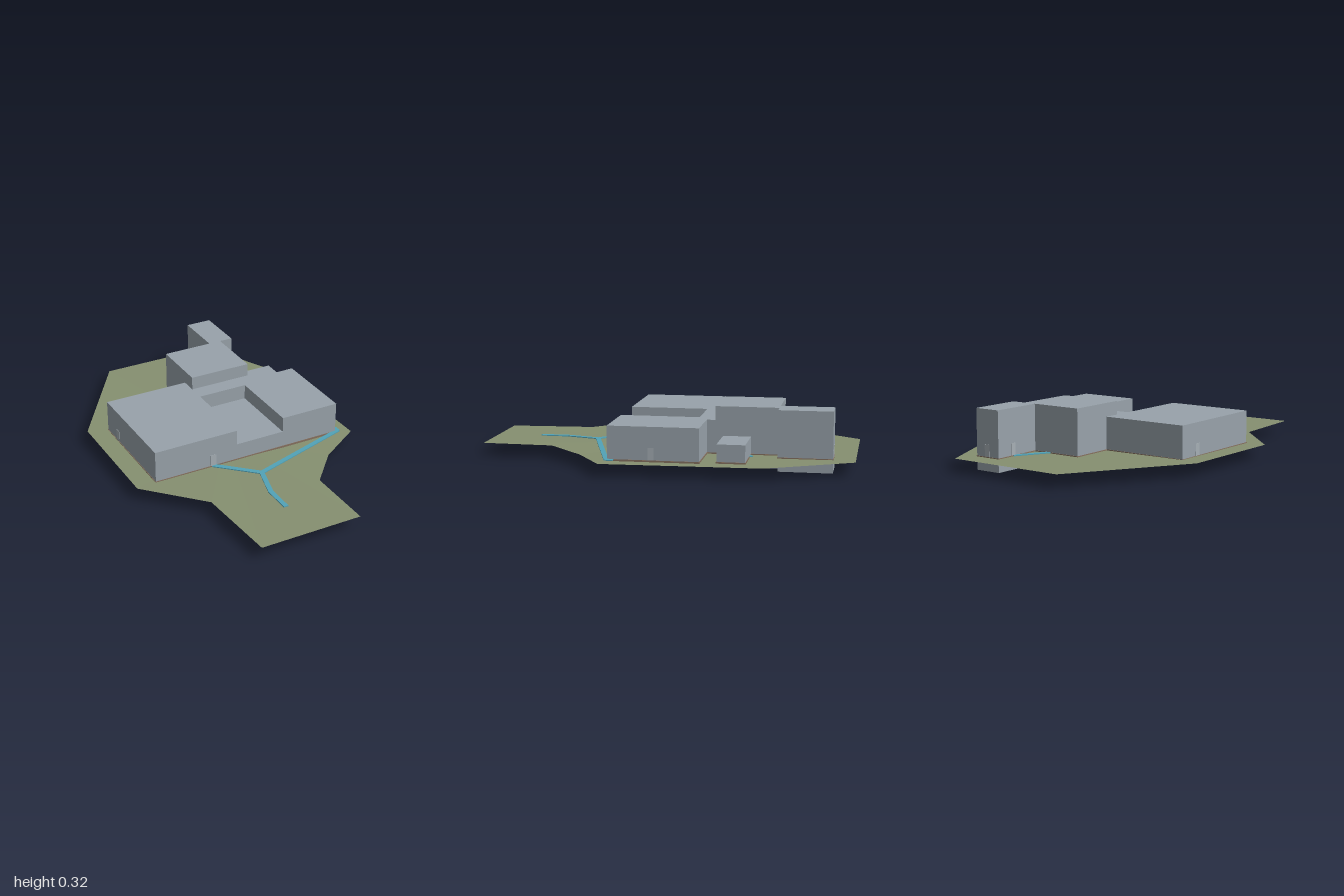
import * as THREE from 'three';

const wallMat = new THREE.MeshStandardMaterial({ name: 'greyWall', color: 0x98a2aa });
const doorMat = new THREE.MeshStandardMaterial({ name: 'paleDoor', color: 0xa6afb5 });
const plinthMat = new THREE.MeshStandardMaterial({ name: 'brownPlinth', color: 0x85705f });
const grassMat = new THREE.MeshStandardMaterial({ name: 'grass', color: 0x869070, side: THREE.DoubleSide });
const pathMat = new THREE.MeshStandardMaterial({ name: 'bluePath', color: 0x52a3b8 });

const rect = (x0, x1, z0, z1) => [[x0, z0], [x1, z0], [x1, z1], [x0, z1]];

// Footprints as [x, z] corners, clockwise seen from below
const mainPlan = [[-0.535, -0.365], [-0.06, -0.365], [-0.06, -0.275], [0.29, -0.275],
  [0.29, -0.23], [0.555, -0.23], [0.555, 0.24], [-0.535, 0.24]];
const upperPlan = [...mainPlan.slice(0, 7), [0.22, 0.24], [0.22, -0.18], [-0.06, -0.18],
  [-0.06, 0.24], [-0.535, 0.24]];
const hallPlan = rect(-0.06, 0.29, -0.605, -0.275);
const towerPlan = rect(0.22, 0.365, -0.885, -0.605);
const annexPlan = rect(0.29, 0.535, -0.46, -0.315);

// Grow (or shrink) a right-angled outline by d
function offset(plan, d) {
  const n = plan.length;
  return plan.map(([x, z], i) => {
    const [px, pz] = plan[(i + n - 1) % n], [qx, qz] = plan[(i + 1) % n];
    const ax = Math.sign(x - px), az = Math.sign(z - pz);
    const bx = Math.sign(qx - x), bz = Math.sign(qz - z);
    return [x + d * (az + bz), z - d * (ax + bx)];
  });
}

// Upright prism over a plan, with an optional hole
function prism(name, plan, y0, y1, mat, hole) {
  const toPoints = (p) => p.map(([x, z]) => new THREE.Vector2(x, -z));
  const shape = new THREE.Shape(toPoints(plan));
  if (hole) shape.holes.push(new THREE.Path(toPoints(hole)));
  const geo = new THREE.ExtrudeGeometry(shape, { depth: y1 - y0, bevelEnabled: false });
  geo.rotateX(-Math.PI / 2).translate(0, y0, 0);
  const mesh = new THREE.Mesh(geo, mat);
  mesh.name = name;
  return mesh;
}

// Gently uneven lawn: a fan from the centre to the outline
function lawn() {
  const rim = [[-0.25, 0.07, -1], [0.41, 0.07, -1], [0.62, 0.066, -0.56], [0.64, 0.064, 0.27],
    [0.4, 0.06, 0.42], [0.22, 0.068, 0.62], [0.22, 0.07, 1], [-0.34, 0.07, 1],
    [-0.37, 0.07, 0.54], [-0.645, 0.07, 0.25], [-0.645, 0.073, -0.4]];
  const pos = [];
  rim.forEach((p, i) => pos.push(0, 0.068, 0, ...rim[(i + 1) % rim.length], ...p));
  const geo = new THREE.BufferGeometry();
  geo.setAttribute('position', new THREE.Float32BufferAttribute(pos, 3));
  geo.computeVertexNormals();
  const mesh = new THREE.Mesh(geo, grassMat);
  mesh.name = 'lawn';
  return mesh;
}

// Flat walkway along a polyline of [x, z] points
function walkway(points, width = 0.026) {
  const group = new THREE.Group();
  group.name = 'walkway';
  for (let i = 1; i < points.length; i++) {
    const [x0, z0] = points[i - 1], [x1, z1] = points[i];
    const length = Math.hypot(x1 - x0, z1 - z0) + width * 0.3;
    const slab = new THREE.Mesh(new THREE.BoxGeometry(length, 0.005, width), pathMat);
    slab.name = 'walkwaySlab';
    slab.position.set((x0 + x1) / 2, 0.0725, (z0 + z1) / 2);
    slab.rotation.y = -Math.atan2(z1 - z0, x1 - x0);
    group.add(slab);
  }
  return group;
}

// Thin door plate; sideways doors lie on an x-facing wall
function door(x, z, sideways) {
  const t = 0.004, w = 0.032;
  const mesh = new THREE.Mesh(new THREE.BoxGeometry(sideways ? t : w, 0.065, sideways ? w : t), doorMat);
  mesh.name = 'door';
  mesh.position.set(x, 0.105, z);
  return mesh;
}

export function createModel() {
  const model = new THREE.Group();
  model.name = 'buildingComplex';

  model.add(lawn());

  // Main building, its upper storey open around the front terrace
  model.add(prism('mainLowerStorey', mainPlan, 0.06, 0.162, wallMat));
  model.add(prism('mainUpperStorey', upperPlan, 0.162, 0.245, wallMat));

  // Tall blocks with basements, and the low side annex
  model.add(prism('rearHall', hallPlan, 0, 0.317, wallMat));
  model.add(prism('rearTower', towerPlan, 0, 0.317, wallMat));
  model.add(prism('sideAnnex', annexPlan, 0.06, 0.163, wallMat));

  // Foundation rims
  for (const plan of [mainPlan, hallPlan, towerPlan, annexPlan]) {
    model.add(prism('foundationRim', offset(plan, 0.003), 0.055, 0.074, plinthMat, offset(plan, -0.012)));
  }

  // Doors
  model.add(door(-0.2, 0.24, false), door(0.555, 0.015, true), door(-0.535, -0.23, true),
    door(0.295, -0.885, false), door(0.22, -0.775, true));

  // Walkways
  model.add(walkway([[-0.2, 0.24], [-0.01, 0.42], [0.57, 0.24], [0.57, 0.21]]));
  model.add(walkway([[-0.01, 0.42], [-0.06, 0.6], [-0.06, 0.75]]));
  model.add(walkway([[0.22, -0.77], [0.125, -0.6]]));
  model.add(walkway([[0.335, -0.455], [0.36, -0.465]]));
  return model;
}
